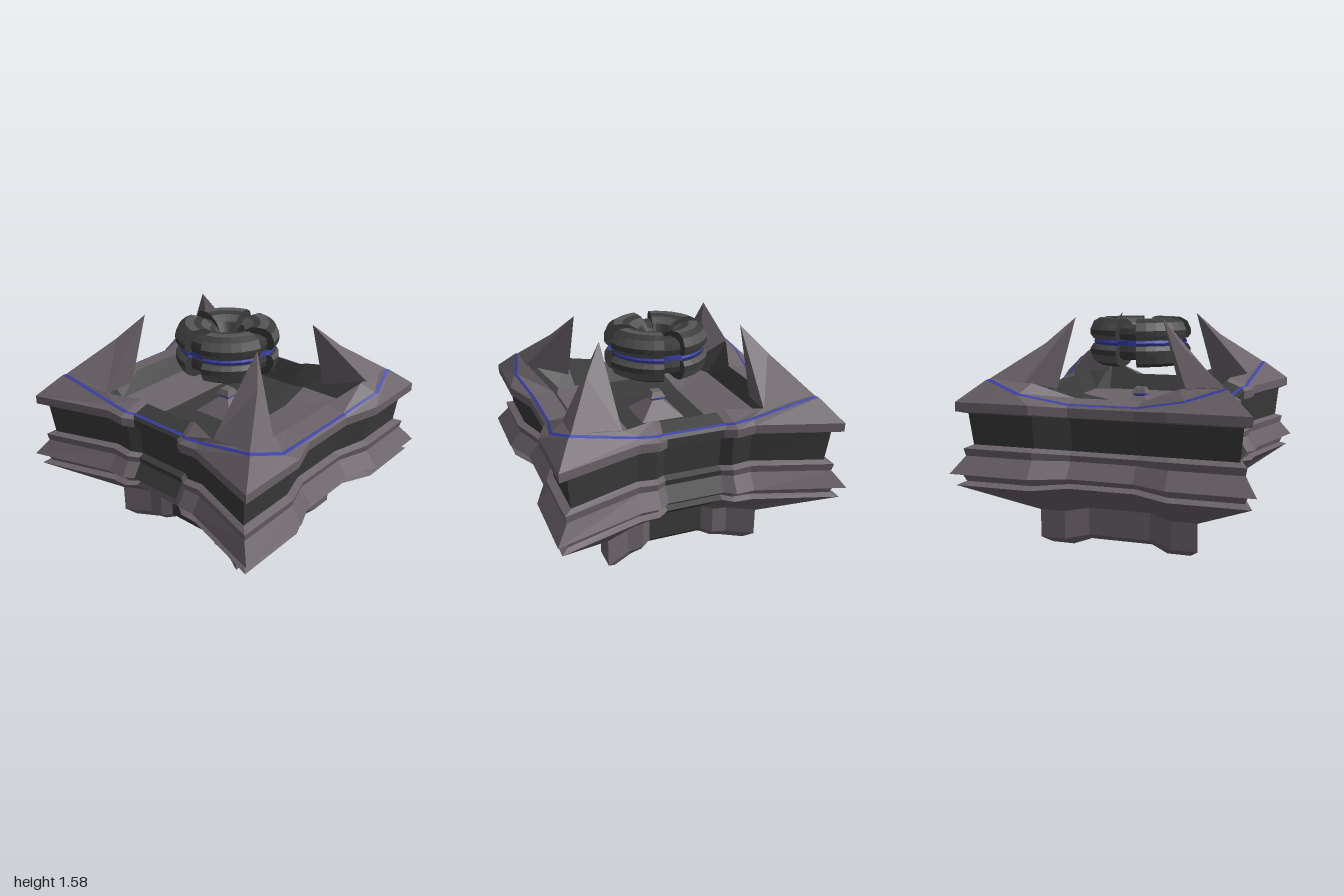
import * as THREE from 'three';
import { ConvexGeometry } from 'three/addons/geometries/ConvexGeometry.js';

const STONE = 0x6a6268, DARK = 0x3a3a3a, GREY = 0x555555, BLUE = 0x3a3fa4;
const mat = (color) => new THREE.MeshStandardMaterial({ color, flatShading: true, side: THREE.DoubleSide });
const materials = { [STONE]: mat(STONE), [DARK]: mat(DARK), [GREY]: mat(GREY), [BLUE]: mat(BLUE) };

function mesh(name, geometry, color, parent) {
  const m = new THREE.Mesh(geometry, materials[color]);
  m.name = name;
  parent.add(m);
  return m;
}

// Six [x, y, z] points of one quarter, mirrored into a closed ring of 24.
function ring(q) {
  const r = [...q].reverse();
  const put = (list, sx, sz) => list.map(([x, y, z]) => [x * sx, y, z * sz]);
  return [...put(q, 1, 1), ...put(r, 1, -1), ...put(q, -1, -1), ...put(r, -1, 1)];
}

// Hull ring: flared corners, stepped front and back, shallow dip in each side.
function hullRing([y, c, dy]) {
  const z = c * 0.81, low = Math.min(0.45, c * 0.68);
  return ring([
    [0.2, y + dy, z - 0.05], [0.27, y + dy * 0.5, z], [Math.min(0.4, c * 0.68), y, z],
    [c, y, c], [c, y, low], [c * 0.905, y + dy, 0.22],
  ]);
}

// Skin between successive rings, split into one mesh per colour.
function band(name, rings, colorOf, parent) {
  const parts = {};
  for (let k = 0; k + 1 < rings.length; k++) {
    for (let i = 0; i < 24; i++) {
      const j = (i + 1) % 24, a = rings[k], b = rings[k + 1];
      const list = (parts[colorOf(i)] ??= []);
      list.push(...a[i], ...a[j], ...b[j], ...a[i], ...b[j], ...b[i]);
    }
  }
  const group = new THREE.Group();
  group.name = name;
  for (const [color, list] of Object.entries(parts)) {
    const g = new THREE.BufferGeometry();
    g.setAttribute('position', new THREE.Float32BufferAttribute(list, 3));
    g.computeVertexNormals();
    mesh(name + (+color === DARK ? 'Dark' : 'Skin'), g, color, group);
  }
  parent.add(group);
}

const isPanel = (i) => i === 11 || i === 23;
const isStep = (i) => [0, 10, 12, 22].includes(i);
const panelled = (i) => (isPanel(i) ? DARK : STONE);
const point = (y) => Array.from({ length: 24 }, () => [0, y, 0]);

export function createModel() {
  const model = new THREE.Group();
  model.name = 'floatingShrine';

  // Stepped hull: [height, corner half-width, height shift at the middles]
  const foot = [0, 0.5, 0.035], shoulder = [0.25, 0.56, 0.025];
  const ledge = [0.5, 0.97, 0.01], neck = [0.76, 0.88, -0.02], eave = [0.97, 0.9, -0.015];
  const keel = ring([0.33, 0.32, 0.31, 0.3, 0.2, 0.1].map((z) => [0.2, 0.035, z]));
  band('keel', [point(0.035), keel], () => DARK, model);
  band('underside', [keel, hullRing(foot)], panelled, model);
  band('base', [foot, [0.05, 0.56, 0.03], shoulder].map(hullRing), panelled, model);
  band('lowerHull', [shoulder, ledge].map(hullRing), panelled, model);
  band('ledges', [ledge, [0.52, 0.92, 0.01], [0.57, 0.94, 0], [0.58, 1, 0],
    [0.69, 0.92, -0.01], [0.74, 0.93, -0.02], neck].map(hullRing), panelled, model);
  band('recessedWall', [neck, eave].map(hullRing), () => DARK, model);

  // Rim, blue inlay and the lip around the sunken court
  const inlay = [[0.22, 1.055, 0.7], [0.27, 1.065, 0.73], [0.4, 1.08, 0.73],
    [0.84, 1.19, 0.78], [0.9, 1.11, 0.54], [0.845, 1.05, 0.23]];
  const inlayOuter = ring(inlay.map(([x, y, z]) => [x * 1.012, y - 0.005, z * 1.015]));
  const inlayInner = ring(inlay.map(([x, y, z]) => [x * 0.99, y + 0.003, z * 0.988]));
  const rim = [0.99, 0.96, -0.02], rimTop = [1.05, 0.96, -0.02];
  const lip = ring([[0.2, 1.1, 0.6], [0.25, 1.12, 0.61], [0.48, 1.13, 0.71],
    [0.8, 1.19, 0.74], [0.8, 1.17, 0.49], [0.7, 1.07, 0.23]]);
  band('rim', [...[eave, rim, rimTop].map(hullRing), inlayOuter], panelled, model);
  band('blueInlay', [inlayOuter, inlayInner], () => BLUE, model);
  band('lip', [inlayInner, lip], panelled, model);

  // Sunken court
  const floorEdge = ring([[0.2, 0.95, 0.53], [0.28, 0.95, 0.56], [0.45, 0.95, 0.56],
    [0.58, 0.95, 0.56], [0.62, 0.95, 0.45], [0.62, 0.95, 0.23]]);
  const floorInner = ring([[0.2, 0.9, 0.3], [0.3, 0.9, 0.3], [0.3, 0.9, 0.29],
    [0.3, 0.9, 0.27], [0.3, 0.9, 0.2], [0.3, 0.9, 0.1]]);
  band('courtWall', [lip, floorEdge], () => DARK, model);
  band('courtFloor', [floorEdge, floorInner], (i) => (isPanel(i) || isStep(i) ? DARK : STONE), model);
  band('courtCentre', [floorInner, point(0.88)], () => DARK, model);

  // Corner horns: a broad shoulder with a pointed blade leaning inward
  const front = [0.49, 1.12, 0.71], outer = [0.83, 1.195, 0.77], side = [0.82, 1.175, 0.53];
  const bend = [0.635, 1.415, 0.46], tip = [0.5, 1.58, 0.3], inner = [0.53, 1.1, 0.43];
  const hornParts = { hornShoulder: [front, outer, side, bend, inner], hornBlade: [front, side, bend, tip, inner] };
  for (const sx of [-1, 1]) {
    for (const sz of [-1, 1]) {
      for (const [name, corners] of Object.entries(hornParts)) {
        const pts = corners.map(([x, y, z]) => new THREE.Vector3(x * sx, y, z * sz));
        mesh(name, new ConvexGeometry(pts), STONE, model);
      }
    }
  }

  // Pedestal in the court
  const pedestal = new THREE.Group();
  pedestal.name = 'pedestal';
  const tiers = [[0.24, 0.05, 0.88, 1.0, STONE], [0.06, 0.06, 1.0, 1.02, BLUE], [0.08, 0.05, 1.02, 1.06, STONE]];
  for (const [r0, r1, y0, y1, color] of tiers) {
    const g = new THREE.CylinderGeometry(r1, r0, y1 - y0, 4);
    g.rotateY(Math.PI / 4).translate(0, (y0 + y1) / 2, 0);
    mesh('pedestalTier', g, color, pedestal);
  }
  model.add(pedestal);

  // Hovering ring: two halves of four striped sectors over a slimmer core
  const hover = new THREE.Group();
  hover.name = 'hoveringRing';
  hover.position.y = 1.4;
  const sector = [[0.08, 0.025], [0.08, 0.06], [0.12, 0.12], [0.18, 0.155], [0.23, 0.165], [0.29, 0.165],
    [0.335, 0.14], [0.36, 0.085], [0.36, 0.05], [0.34, 0.02], [0.08, 0.025]];
  const core = [[0.065, 0.02], [0.065, 0.05], [0.12, 0.09], [0.18, 0.12], [0.25, 0.12],
    [0.3, 0.1], [0.31, 0.06], [0.3, 0.02], [0.065, 0.02]];
  const gap = 0.2, sweep = Math.PI / 2 - 2 * gap;
  for (const s of [1, -1]) {
    const profile = (list) => list.map(([r, y]) => new THREE.Vector2(r, y * s));
    const outline = profile(sector);
    mesh('ringCore', new THREE.LatheGeometry(profile(core), 32), DARK, hover);
    for (let i = 0; i < 4; i++) {
      const start = i * Math.PI / 2 + gap;
      for (let k = 0; k + 1 < outline.length; k++) {
        const stripe = new THREE.LatheGeometry(outline.slice(k, k + 2), 6, start, sweep);
        mesh('sectorStripe', stripe, k % 2 ? DARK : GREY, hover);
      }
      // End faces of the sector
      for (const angle of [start, start + sweep]) {
        const cap = new THREE.ShapeGeometry(new THREE.Shape(outline));
        cap.rotateY(angle - Math.PI / 2);
        mesh('sectorEnd', cap, DARK, hover);
      }
    }
  }

  // Blue disc between the halves, wider under the sectors
  mesh('blueDisc', new THREE.CylinderGeometry(0.295, 0.295, 0.036, 32), BLUE, hover);
  const edge = [[0.29, 0.018], [0.325, 0.018], [0.335, 0], [0.325, -0.018], [0.29, -0.018]];
  for (let i = 0; i < 4; i++) {
    const points = edge.map(([r, y]) => new THREE.Vector2(r, y));
    mesh('blueEdge', new THREE.LatheGeometry(points, 6, i * Math.PI / 2 + gap, sweep), BLUE, hover);
  }
  model.add(hover);

  return model;
}
